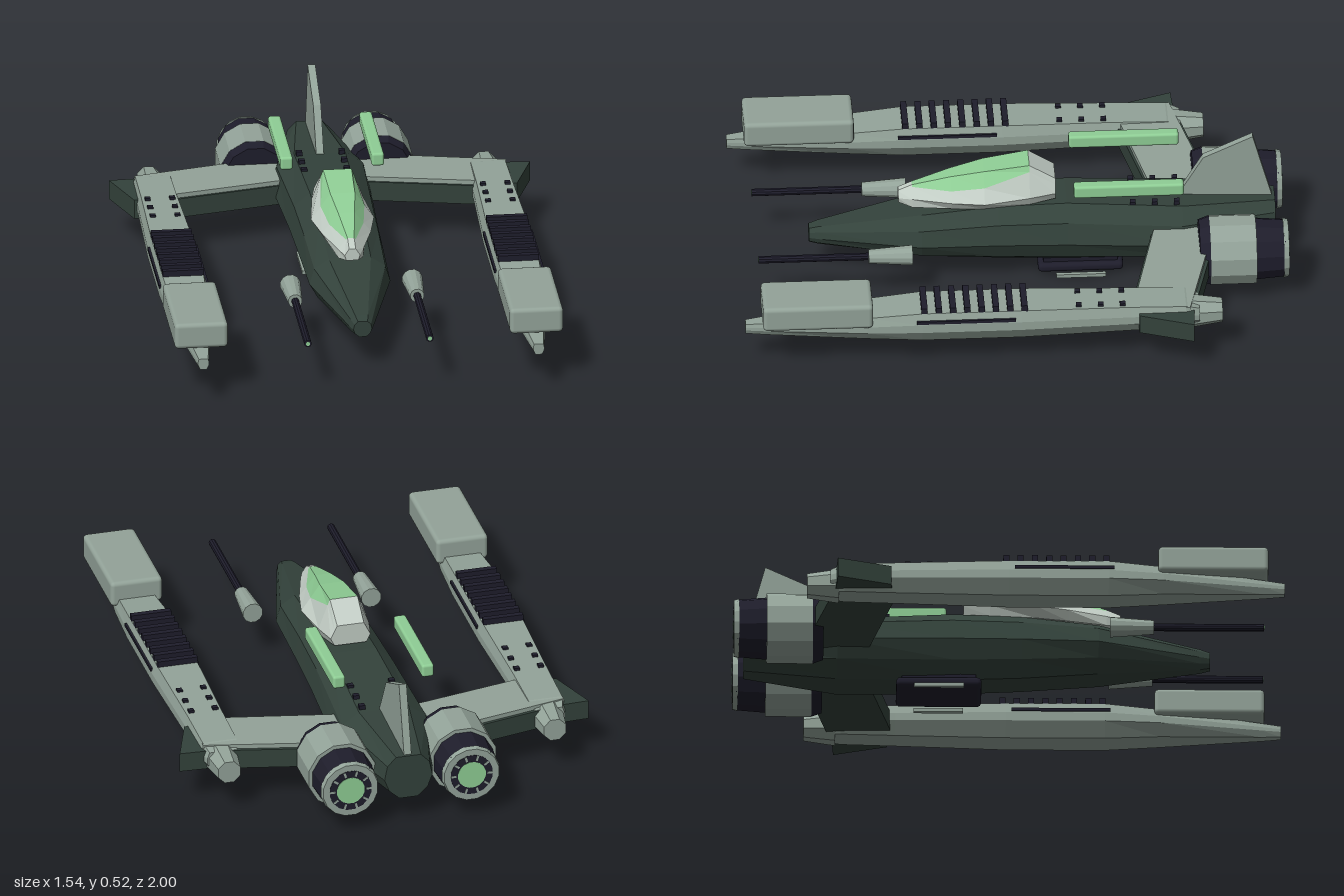
import * as THREE from 'three';
import { RoundedBoxGeometry } from 'three/addons/geometries/RoundedBoxGeometry.js';

const mat = (name, color) => Object.assign(new THREE.MeshStandardMaterial({ color }), { name });

export function createModel() {
  const hull = mat('dark green hull', 0x33423b);
  const grey = mat('grey green panel', 0x93a399);
  const black = mat('blue black metal', 0x1e1d2b);
  const green = mat('bright green', 0x8fce95);
  const pale = mat('pale canopy frame', 0xc3cec6);
  const root = new THREE.Group();

  const add = (name, geo, m, x = 0, y = 0, z = 0) => {
    const mesh = new THREE.Mesh(geo, m);
    mesh.name = name;
    mesh.position.set(x, y, z);
    root.add(mesh);
    return mesh;
  };
  const flat = (geo) => {
    const g = geo.index ? geo.toNonIndexed() : geo;
    g.computeVertexNormals();
    return g;
  };
  const box = (name, m, w, h, d, x, y, z) => add(name, new THREE.BoxGeometry(w, h, d), m, x, y, z);
  const rounded = (name, m, w, h, d, r, x, y, z) =>
    add(name, new RoundedBoxGeometry(w, h, d, 2, r), m, x, y, z);
  // cylinder along z between zBack and zFront
  const tube = (name, m, rFront, rBack, zFront, zBack, x, y, sides = 12) => {
    const g = new THREE.CylinderGeometry(rFront, rBack, zFront - zBack, sides);
    g.rotateY(Math.PI / sides).rotateX(Math.PI / 2);
    return add(name, flat(g), m, x, y, (zFront + zBack) / 2);
  };
  // right half of a section, bottom to top, mirrored into a closed ring
  const ring = (half) => [...half, ...half.map(([x, y]) => [-x, y]).reverse()];
  // loft closed rings ordered from back to front; isSecond picks material 1
  const loft = (sections, isSecond = () => false) => {
    const lists = [[], []];
    const n = sections[0].pts.length;
    const v = (i, j) => [...sections[i].pts[j % n], sections[i].z];
    for (let i = 0; i < sections.length - 1; i++) {
      for (let j = 0; j < n; j++) {
        const a = v(i, j), b = v(i, j + 1), c = v(i + 1, j + 1), d = v(i + 1, j);
        lists[isSecond(i, j) ? 1 : 0].push(...a, ...b, ...c, ...a, ...c, ...d);
      }
    }
    const last = sections.length - 1;
    for (let j = 1; j < n - 1; j++) {
      lists[0].push(...v(0, 0), ...v(0, j + 1), ...v(0, j));
      lists[0].push(...v(last, 0), ...v(last, j), ...v(last, j + 1));
    }
    const g = new THREE.BufferGeometry();
    g.setAttribute('position', new THREE.Float32BufferAttribute([...lists[0], ...lists[1]], 3));
    g.addGroup(0, lists[0].length / 3, 0);
    g.addGroup(lists[0].length / 3, lists[1].length / 3, 1);
    g.computeVertexNormals();
    return g;
  };
  // flat plate from a plan outline of [x, z] points
  const plate = (name, m, pts, side, y0, y1) => {
    const shape = new THREE.Shape(pts.map(([x, z]) => new THREE.Vector2(x * side, -z)));
    const g = new THREE.ExtrudeGeometry(shape, { depth: y1 - y0, bevelEnabled: false });
    return add(name, g.rotateX(-Math.PI / 2), m, 0, y0, 0);
  };

  // fuselage: ten-sided loft [z, half width, bottom, top]
  const hullProfile = [[0.38, 0], [0.8, 0.2], [1, 0.48], [0.88, 0.8], [0.52, 1]];
  const fuselage = [
    [-0.96, 0.09, 0.1, 0.27], [-0.62, 0.18, 0.055, 0.285], [-0.2, 0.162, 0.055, 0.308],
    [0.05, 0.155, 0.065, 0.3], [0.33, 0.148, 0.085, 0.27], [0.7, 0.045, 0.122, 0.2], [0.735, 0.034, 0.13, 0.19],
  ].map(([z, w, b, t]) => ({ z, pts: ring(hullProfile.map(([x, y]) => [x * w, b + y * (t - b)])) }));
  add('fuselage', loft(fuselage), hull);

  // canopy: [z, bottom half, bottom y, middle half, middle y, top half, top y, glass edge 0..1]
  const canopy = [
    [-0.16, 0.06, 0.315, 0.075, 0.345, 0.05, 0.395, 0.6], [-0.065, 0.08, 0.305, 0.095, 0.34, 0.052, 0.455, 0.8],
    [0.1, 0.085, 0.295, 0.115, 0.33, 0.045, 0.43, 0.5], [0.22, 0.07, 0.29, 0.09, 0.325, 0.03, 0.403, 0.45],
    [0.36, 0.045, 0.285, 0.047, 0.32, 0.012, 0.362, 0.85], [0.41, 0.022, 0.295, 0.028, 0.315, 0.012, 0.34, 0.9],
  ].map(([z, wb, yb, wm, ym, wt, yt, e]) => ({
    z, pts: ring([[wb, yb], [wm, ym], [wm + (wt - wm) * e, ym + (yt - ym) * e], [wt, yt]]),
  }));
  add('canopy', loft(canopy, (i, j) => i >= 1 && i <= 3 && j >= 2 && j <= 4), [pale, green]);

  // tail fin
  const finShape = new THREE.Shape(
    [[0.6, 0.27], [0.955, 0.25], [0.88, 0.525], [0.7, 0.44]].map(([x, y]) => new THREE.Vector2(x, y)));
  const fin = new THREE.ExtrudeGeometry(finShape, { depth: 0.028, bevelEnabled: false });
  add('tailFin', fin.rotateY(Math.PI / 2), grey, -0.014);

  // belly hatch
  rounded('bellyHatch', black, 0.2, 0.035, 0.31, 0.015, 0, 0.035, -0.25);
  box('bellyMount', black, 0.16, 0.03, 0.27, 0, 0.055, -0.25);

  // boom: [z, half width, bottom, top]
  const boomProfile = [[0.6, 0], [1, 0.42], [1, 0.68], [0.85, 1]];
  const boom = [
    [-0.65, 0.06, 0.135, 0.215], [-0.6, 0.075, 0.13, 0.232], [-0.4, 0.077, 0.125, 0.237], [0, 0.088, 0.115, 0.243],
    [0.36, 0.088, 0.115, 0.243], [0.56, 0.078, 0.125, 0.225], [0.93, 0.03, 0.138, 0.19], [1, 0.02, 0.142, 0.183],
  ].map(([z, w, b, t]) => ({ z, pts: ring(boomProfile.map(([x, y]) => [x * w, b + y * (t - b)])) }));

  for (const s of [1, -1]) {
    // belly rails and top bars
    box('bellyRail', grey, 0.015, 0.014, 0.18, s * 0.11, 0.012, -0.25);
    rounded('topBar', green, 0.046, 0.05, 0.4, 0.01, s * 0.167, 0.418, -0.42);

    // wing: dark core with a lighter top skin
    plate('wing', hull, [[0.08, -0.76], [0.67, -0.63], [0.77, -0.625], [0.7, -0.43], [0.55, -0.42], [0.08, -0.52]],
      s, 0.14, 0.213);
    plate('wingSkin', grey, [[0.14, -0.735], [0.68, -0.615], [0.66, -0.44], [0.55, -0.43], [0.14, -0.515]],
      s, 0.213, 0.23);

    // boom with front pod, tail stub, cooling bars and rivets
    const bx = s * 0.613;
    add('boom', loft(boom), grey, bx);
    rounded('frontPod', grey, 0.195, 0.098, 0.4, 0.016, bx, 0.247, 0.74);
    tube('boomTailStub', grey, 0.062, 0.045, -0.62, -0.735, bx, 0.172, 8);
    for (let i = 0; i < 8; i++) box('coolingBar', black, 0.15, 0.03, 0.022, bx, 0.25, -0.012 + i * 0.052);
    for (const dx of [-0.045, 0.045]) {
      for (let i = 0; i < 3; i++) box('rivet', black, 0.02, 0.012, 0.02, bx + dx, 0.241, -0.37 + i * 0.08);
    }
    for (const dx of [-0.087, 0.087]) box('boomSlot', black, 0.008, 0.012, 0.36, bx + dx, 0.212, 0.2);
    for (let i = 0; i < 3; i++) box('hullRivet', black, 0.022, 0.016, 0.02, s * 0.078, 0.297, -0.6 + i * 0.08);

    // engine
    const ex = s * 0.228, ey = 0.18;
    tube('engineIntake', black, 0.115, 0.129, -0.672, -0.712, ex, ey);
    tube('engineCowl', grey, 0.129, 0.129, -0.71, -0.878, ex, ey);
    tube('engineNozzle', black, 0.115, 0.106, -0.87, -0.985, ex, ey);
    tube('nozzleRim', grey, 0.109, 0.104, -0.978, -0.997, ex, ey, 16);
    tube('nozzleDisc', black, 0.08, 0.08, -0.99, -0.9985, ex, ey, 16);
    tube('engineGlow', green, 0.053, 0.053, -0.99, -1, ex, ey, 16);
    for (let i = 0; i < 10; i++) {
      const a = (i / 10) * Math.PI * 2;
      const vane = box('nozzleVane', grey, 0.02, 0.008, 0.006, ex + Math.cos(a) * 0.068, ey + Math.sin(a) * 0.068, -0.997);
      vane.rotation.z = a;
    }

    // forward gun
    tube('gunHousing', grey, 0.026, 0.038, 0.53, 0.37, s * 0.223, 0.195, 12);
    tube('gunBarrel', black, 0.014, 0.014, 0.93, 0.52, s * 0.223, 0.195, 10);
    tube('gunMuzzle', green, 0.008, 0.008, 0.932, 0.925, s * 0.223, 0.195, 10);
  }
  return root;
}
